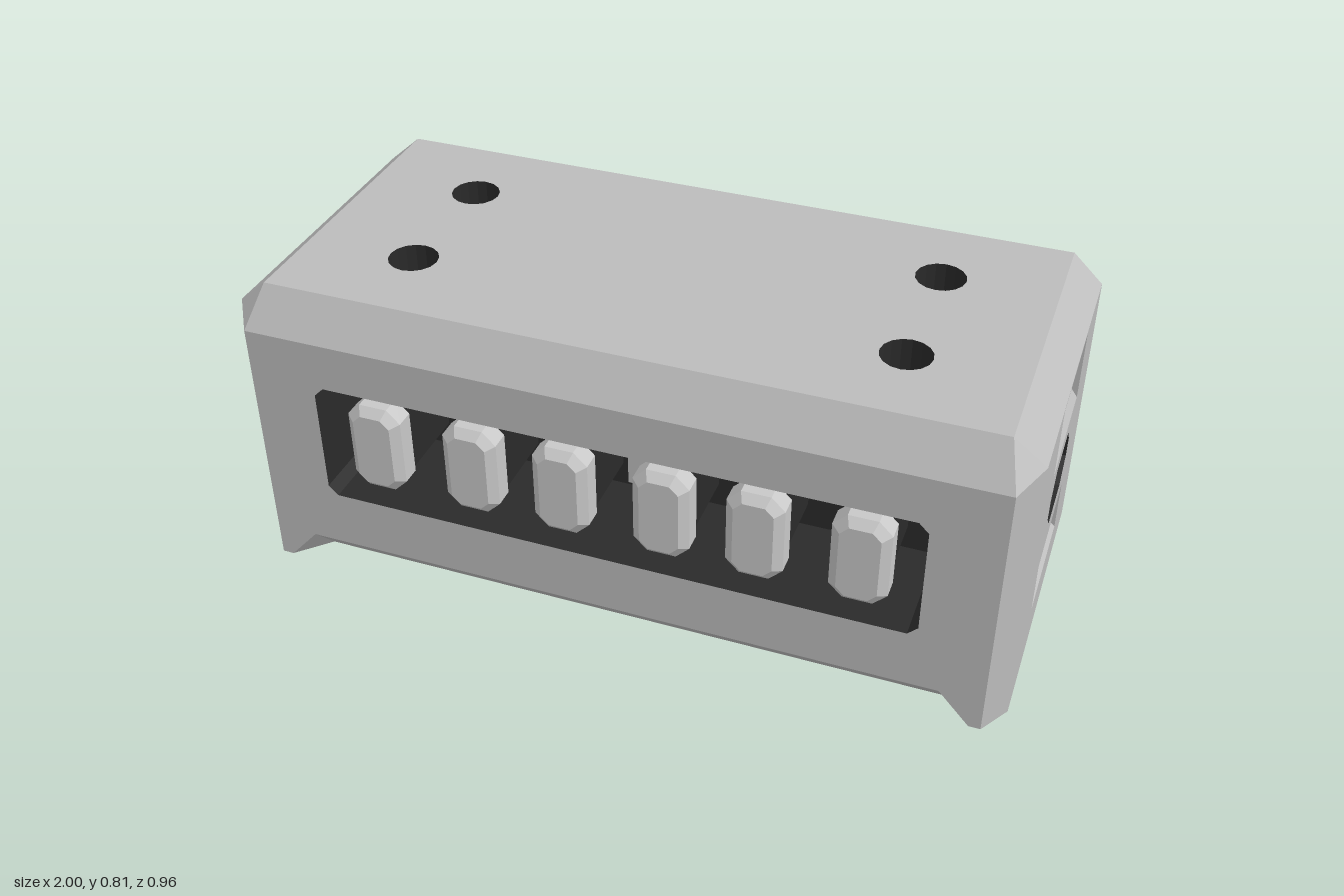
import * as THREE from 'three';
import { mergeGeometries } from 'three/addons/utils/BufferGeometryUtils.js';

const mat = (name, color) => new THREE.MeshStandardMaterial({ name, color, side: THREE.DoubleSide, flatShading: true });

// Rectangle with cut corners
function octagon(w, h, c, x = 0, y = 0) {
  const a = w / 2, b = h / 2;
  return [[a - c, -b], [a, c - b], [a, b - c], [a - c, b], [c - a, b], [-a, b - c], [-a, c - b], [c - a, -b]]
    .map(([px, py]) => new THREE.Vector2(px + x, py + y));
}
function rect(x0, x1, y0, y1) {
  return [[x0, y0], [x1, y0], [x1, y1], [x0, y1]].map(([x, y]) => new THREE.Vector2(x, y));
}
function circle(r, x, y) {
  return new THREE.Path().absarc(x, y, r, 0, Math.PI * 2).getPoints(8).slice(0, -1);
}
function plate(points, holes = []) {
  const s = new THREE.Shape(points);
  s.holes = holes.map((h) => new THREE.Path(h));
  return new THREE.ShapeGeometry(s);
}

// Convex polygons, each turned to face away from the body centre
function polygons(list) {
  const pos = [], centre = new THREE.Vector3(0, 0.4, 0);
  for (const poly of list) {
    const v = poly.map((p) => new THREE.Vector3(...p));
    for (let i = 1; i < v.length - 1; i++) {
      const t = [v[0], v[i], v[i + 1]];
      const n = t[1].clone().sub(t[0]).cross(t[2].clone().sub(t[0]));
      if (n.dot(t[0].clone().sub(centre)) < 0) t.reverse();
      t.forEach((p) => pos.push(p.x, p.y, p.z));
    }
  }
  const g = new THREE.BufferGeometry();
  g.setAttribute('position', new THREE.Float32BufferAttribute(pos, 3));
  g.computeVertexNormals();
  return g;
}

// Blind hole: walls and floor sunk behind a counter-clockwise outline
function blindHole(points, depth) {
  const pos = [];
  points.forEach((a, i) => {
    const b = points[(i + 1) % points.length];
    pos.push(a.x, a.y, 0, a.x, a.y, -depth, b.x, b.y, 0, b.x, b.y, 0, a.x, a.y, -depth, b.x, b.y, -depth);
  });
  const walls = new THREE.BufferGeometry();
  walls.setAttribute('position', new THREE.Float32BufferAttribute(pos, 3));
  walls.computeVertexNormals();
  const floor = plate(points).toNonIndexed().translate(0, 0, -depth);
  floor.deleteAttribute('uv');
  return mergeGeometries([walls, floor]);
}

export function createModel() {
  const model = new THREE.Group();
  model.name = 'housing';
  const shell = mat('shellGrey', 0xbcbcbc);
  const knobMat = mat('knobGrey', 0xc8c8c8);
  const dark = mat('cavityBlack', 0x2a2a2a);
  const inner = mat('innerGrey', 0x7c7c7e);

  const add = (parent, name, geometry, material) => {
    const m = new THREE.Mesh(geometry, material);
    m.name = name;
    parent.add(m);
    return m;
  };

  // Front and back faces, raised between the feet
  const facePts = [[-0.95, 0], [-0.92, 0], [-0.84, 0.09], [0.84, 0.09], [0.92, 0], [0.95, 0], [0.95, 0.71], [-0.95, 0.71]]
    .map(([x, y]) => new THREE.Vector2(x, y));
  const opening = octagon(1.55, 0.335, 0.025, 0, 0.415);
  add(model, 'frontFace', plate(facePts, [opening]), shell).position.z = 0.48;
  const back = add(model, 'backFace', plate(facePts), shell);
  back.position.z = -0.48;
  back.rotation.y = Math.PI;

  // Top face with four blind holes
  const top = new THREE.Group();
  top.name = 'top';
  top.position.y = 0.815;
  top.rotation.x = -Math.PI / 2;
  model.add(top);
  const topHoles = [];
  for (const x of [-0.63, 0.63]) for (const y of [-0.18, 0.18]) topHoles.push(circle(0.064, x, y));
  add(top, 'topFace', plate(rect(-0.92, 0.92, -0.41, 0.41), topHoles), shell);
  topHoles.forEach((h) => add(top, 'topHole', blindHole(h, 0.2), dark));

  // Chamfers, corners and feet
  const edges = [], f = [];
  for (const s of [-1, 1]) {
    edges.push(
      [[-0.95, 0.71, s * 0.48], [0.95, 0.71, s * 0.48], [0.92, 0.815, s * 0.41], [-0.92, 0.815, s * 0.41]],
      [[s, 0.745, -0.4], [s, 0.745, 0.4], [s * 0.92, 0.815, 0.41], [s * 0.92, 0.815, -0.41]],
      [[-0.84, 0.09, s * 0.48], [0.84, 0.09, s * 0.48], [0.84, 0, s * 0.4], [-0.84, 0, s * 0.4]],
    );
    for (const t of [-1, 1]) {
      edges.push(
        [[s * 0.95, 0, t * 0.48], [s, 0, t * 0.4], [s, 0.745, t * 0.4], [s * 0.95, 0.71, t * 0.48]],
        [[s * 0.95, 0.71, t * 0.48], [s, 0.745, t * 0.4], [s * 0.92, 0.815, t * 0.41]],
      );
      f.push([[s * 0.92, 0, t * 0.48], [s * 0.84, 0.09, t * 0.48], [s * 0.84, 0, t * 0.4]]);
    }
  }
  add(model, 'edgeChamfers', polygons(edges), shell);
  add(model, 'footFlanks', polygons(f), shell);

  // Underside
  const half = [[1, -0.4], [1, 0.4], [0.95, 0.48], [0.92, 0.48], [0.84, 0.4]];
  const under = [...half, ...half.slice(2).reverse().map(([x, z]) => [-x, z]),
    [-1, 0.4], [-1, -0.4], ...half.slice(2).map(([x, z]) => [-x, -z]),
    ...half.slice(2).reverse().map(([x, z]) => [x, -z])].map(([x, z]) => new THREE.Vector2(x, z));
  add(model, 'underside', plate(under), shell).rotation.x = Math.PI / 2;

  // Ends: a port between two V-shaped grips
  for (const s of [-1, 1]) {
    const end = new THREE.Group();
    end.name = s > 0 ? 'leftEnd' : 'rightEnd';
    end.position.x = s;
    end.rotation.y = s * Math.PI / 2;
    model.add(end);
    const port = octagon(0.27, 0.165, 0.055, 0, 0.42);
    const grips = [[0.55, 0.66, 0.738], [0.132, 0.203, 0.275]];
    add(end, 'endFace', plate(rect(-0.4, 0.4, 0, 0.745),
      [port, ...grips.map(([a, , b]) => rect(-0.17, 0.17, a, b))]), shell);
    add(end, 'port', blindHole(port, 0.35), dark);
    add(end, 'portBack', plate(octagon(0.22, 0.13, 0.04, 0, 0.435)), inner).position.z = -0.342;
    for (const [a, m, b] of grips) {
      const w = 0.17, d = -0.08;
      add(end, 'grip', polygons([
        [[-w, a, 0], [w, a, 0], [w, m, d], [-w, m, d]],
        [[-w, m, d], [w, m, d], [w, b, 0], [-w, b, 0]],
        [[-w, a, 0], [-w, m, d], [-w, b, 0]],
        [[w, a, 0], [w, m, d], [w, b, 0]],
      ]), shell);
    }
  }

  // Front cavity with a pale strip on its back wall
  add(model, 'cavity', blindHole(opening, 0.3), dark).position.z = 0.48;
  add(model, 'cavityStrip', plate(rect(-0.06, 0.06, 0.26, 0.575)), shell).position.z = 0.188;

  // Row of knobs on dark stems
  const knobGeo = new THREE.ExtrudeGeometry(new THREE.Shape(octagon(0.1, 0.205, 0.022)), {
    depth: 0.05, bevelEnabled: true, bevelThickness: 0.02, bevelSize: 0.022, bevelSegments: 1,
  });
  for (const x of [-0.63, -0.37, -0.13, 0.13, 0.365, 0.62]) {
    add(model, 'knob', knobGeo, knobMat).position.set(x, 0.415, 0.405);
    add(model, 'knobStem', new THREE.BoxGeometry(0.11, 0.2, 0.215), dark).position.set(x, 0.415, 0.288);
  }
  return model;
}
